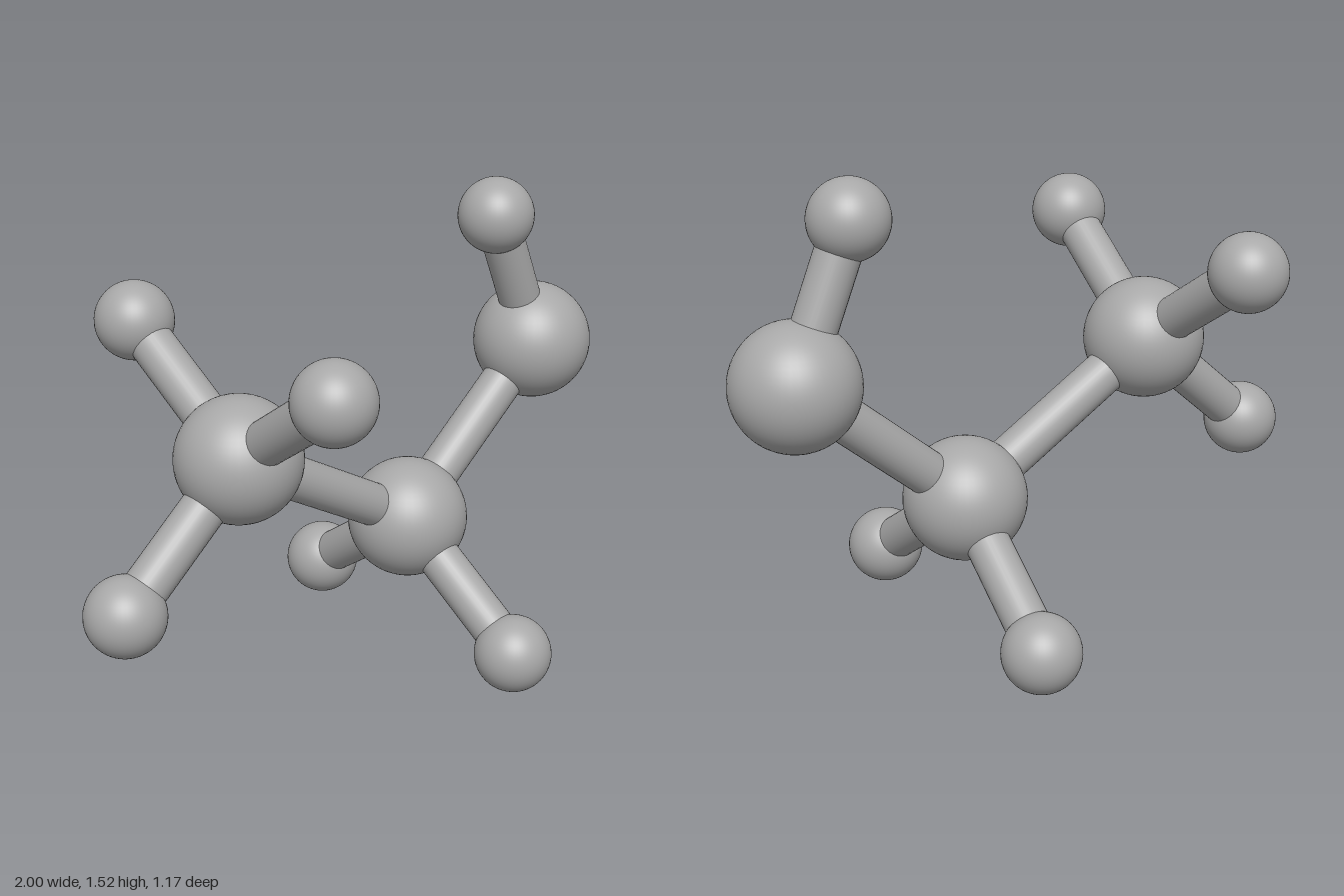
import * as THREE from 'three';

export function createModel() {
  const group = new THREE.Group();
  const grey = new THREE.MeshStandardMaterial({ color: 0xa8a8a8 });
  grey.name = 'grey';

  const BIG = 0.195, SMALL = 0.123, ROD = 0.07;
  // Ball centres and radii
  const balls = {
    endCarbon: [-0.45, 0.853, 0, BIG],
    middleCarbon: [0.238, 0.454, 0, BIG],
    oxygen: [0.803, 0.935, 0, BIG],
    oxygenHydrogen: [0.612, 1.397, 0, SMALL],
    endHydrogen: [-0.877, 0.483, 0, SMALL],
    upperHydrogenFront: [-0.479, 1.174, 0.462, SMALL],
    upperHydrogenBack: [-0.479, 1.174, -0.462, SMALL],
    lowerHydrogenFront: [0.267, 0.126, 0.462, SMALL],
    lowerHydrogenBack: [0.267, 0.126, -0.462, SMALL],
  };
  // Pairs of balls joined by a rod
  const bonds = [
    ['endCarbon', 'middleCarbon'],
    ['middleCarbon', 'oxygen'],
    ['oxygen', 'oxygenHydrogen'],
    ['endCarbon', 'endHydrogen'],
    ['endCarbon', 'upperHydrogenFront'],
    ['endCarbon', 'upperHydrogenBack'],
    ['middleCarbon', 'lowerHydrogenFront'],
    ['middleCarbon', 'lowerHydrogenBack'],
  ];

  const add = (geometry, name) => {
    const mesh = new THREE.Mesh(geometry, grey);
    mesh.name = name;
    group.add(mesh);
    return mesh;
  };

  // Atoms
  for (const [name, [x, y, z, r]] of Object.entries(balls)) {
    add(new THREE.SphereGeometry(r, 48, 32), name).position.set(x, y, z);
  }

  // Bonds run from centre to centre
  const up = new THREE.Vector3(0, 1, 0);
  for (const [from, to] of bonds) {
    const a = new THREE.Vector3(...balls[from].slice(0, 3));
    const b = new THREE.Vector3(...balls[to].slice(0, 3));
    const rod = add(new THREE.CylinderGeometry(ROD, ROD, a.distanceTo(b), 32), `${from}To${to[0].toUpperCase()}${to.slice(1)}Bond`);
    rod.position.copy(a).lerp(b, 0.5);
    rod.quaternion.setFromUnitVectors(up, b.sub(a).normalize());
  }

  return group;
}
